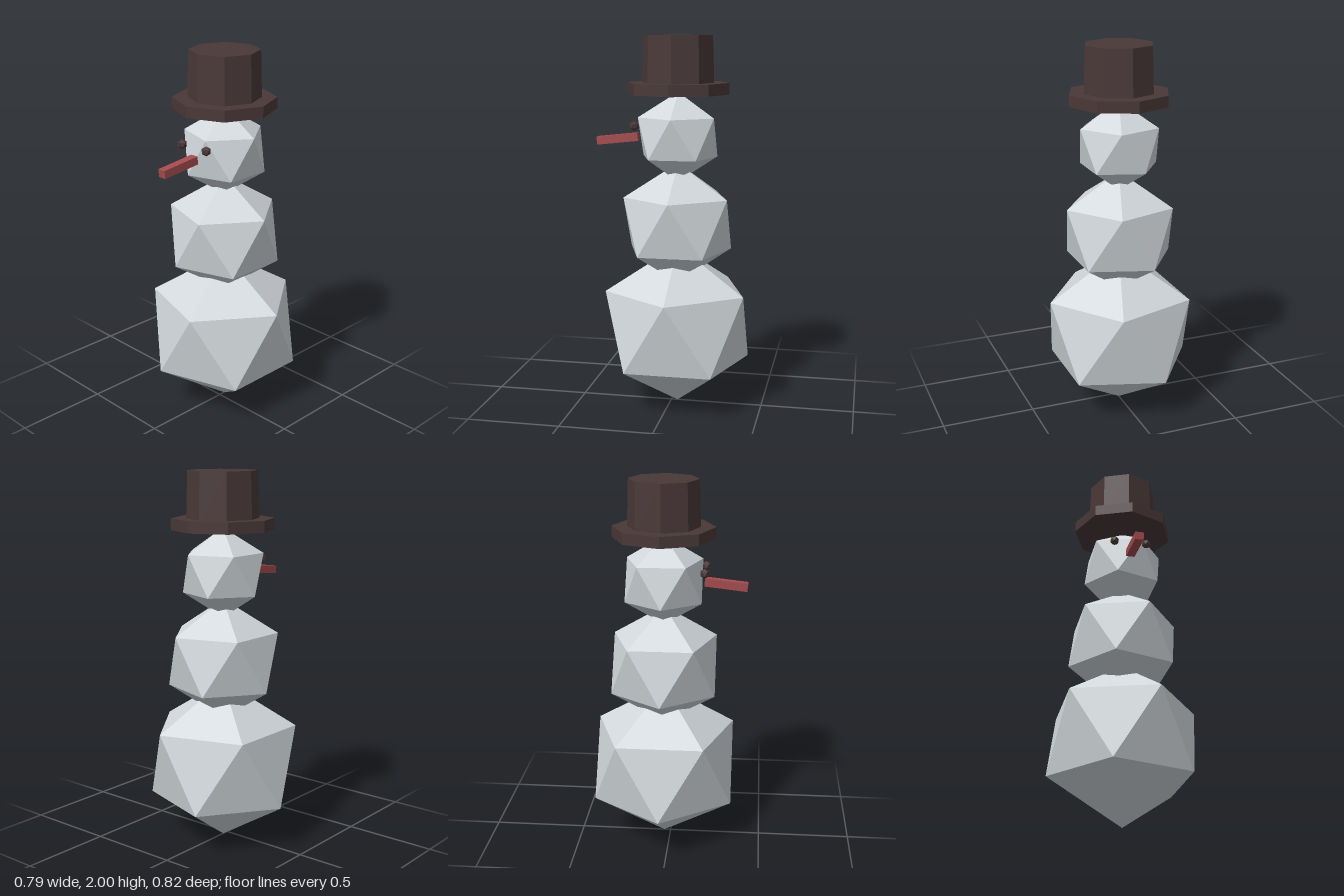
import * as THREE from 'three';

const flat = (name, color) => {
  const m = new THREE.MeshStandardMaterial({ color, flatShading: true });
  m.name = name;
  return m;
};

export function createModel() {
  const group = new THREE.Group();
  const snow = flat('snow', 0xd2d8dc);
  const felt = flat('dark felt', 0x4a3838);
  const carrot = flat('carrot red', 0xa54c4e);
  const axisZ = -0.035; // the body stands slightly back because of the long nose

  const add = (name, geometry, material, x, y, z) => {
    const mesh = new THREE.Mesh(geometry, material);
    mesh.name = name;
    mesh.position.set(x, y, z);
    group.add(mesh);
    return mesh;
  };

  // Icosahedron turned so that one corner points straight up
  const tilt = -Math.atan(2 / (1 + Math.sqrt(5)));
  const ball = (r) => new THREE.IcosahedronGeometry(r, 0).rotateZ(tilt);

  // Three stacked snowballs: name, radius, centre height
  for (const [name, r, y] of [
    ['base', 0.44, 0.442],
    ['torso', 0.327, 1.003],
    ['head', 0.238, 1.468],
  ]) add(name, ball(r), snow, 0, y, axisZ);

  // Eyes
  for (const [name, side] of [['leftEye', 1], ['rightEye', -1]])
    add(name, ball(0.026), felt, side * 0.088, 1.53, 0.183);

  // Nose, drooping a little towards its tip
  add('nose', new THREE.BoxGeometry(0.046, 0.043, 0.226), carrot, 0, 1.454, 0.292).rotation.x = 0.11;

  // Eight-sided top hat
  add('hatBrim', new THREE.CylinderGeometry(0.272, 0.272, 0.06, 8), felt, 0, 1.725, axisZ);
  add('hatCrown', new THREE.CylinderGeometry(0.184, 0.192, 0.255, 8), felt, 0, 1.8725, axisZ);

  return group;
}
